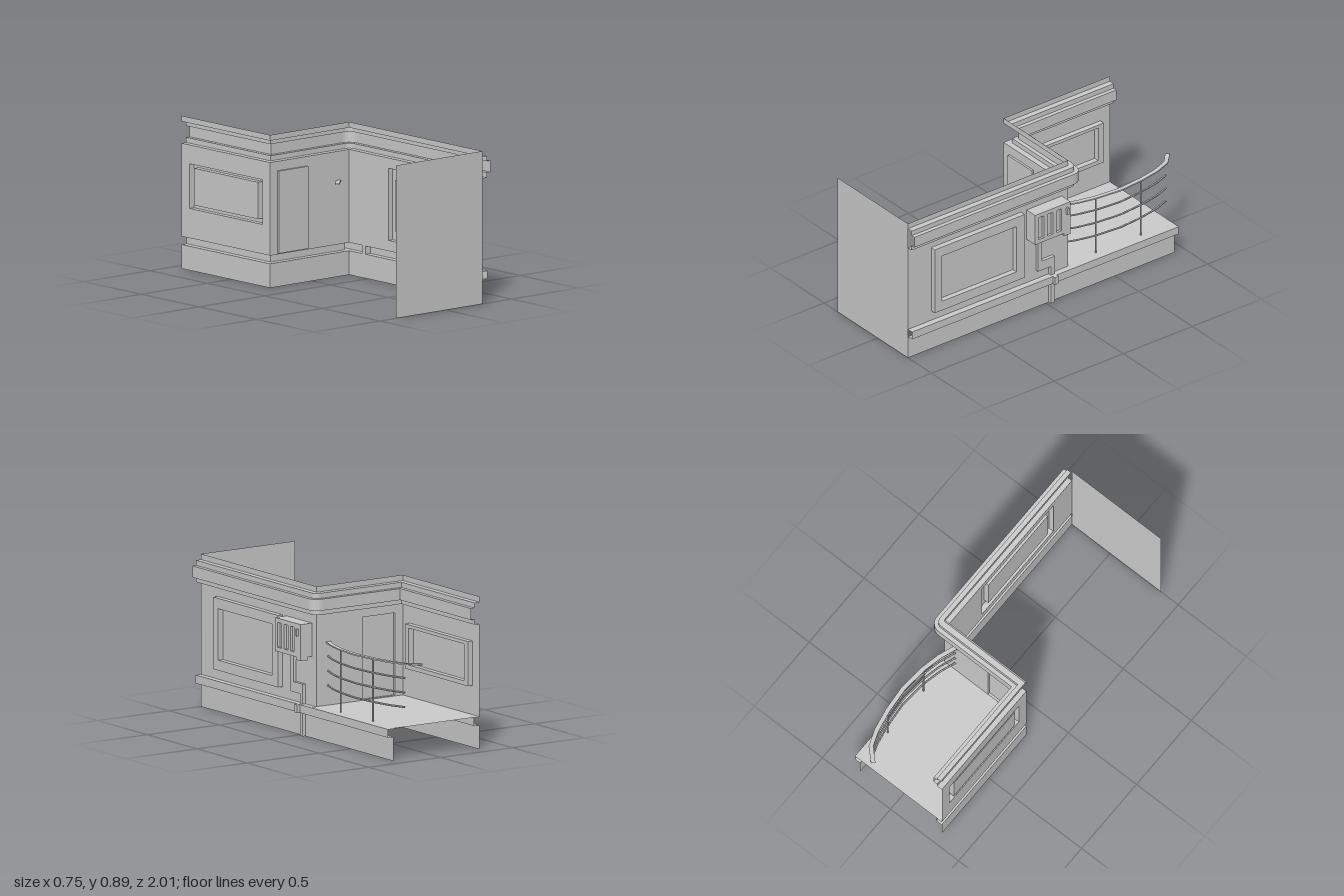
import * as THREE from 'three';

const mat = new THREE.MeshStandardMaterial({ color: 0xcccccc, side: THREE.DoubleSide, flatShading: true });

function add(parent, name, geo, x = 0, y = 0, z = 0) {
  const m = new THREE.Mesh(geo, mat);
  m.name = name;
  m.position.set(x, y, z);
  parent.add(m);
  return m;
}

// Faceted surface through rows of equally many points
function skin(rows) {
  const pos = [];
  for (let i = 0; i + 1 < rows.length; i++) {
    for (let j = 0; j + 1 < rows[i].length; j++) {
      const a = rows[i][j], b = rows[i + 1][j], c = rows[i + 1][j + 1], d = rows[i][j + 1];
      pos.push(...a, ...b, ...c, ...a, ...c, ...d);
    }
  }
  const g = new THREE.BufferGeometry();
  g.setAttribute('position', new THREE.Float32BufferAttribute(pos, 3));
  g.computeVertexNormals();
  return g;
}

// Moulding: profile [offset, y] carried along stations [x, z, normalX, normalZ]
const sweep = (path, profile) =>
  skin(path.map(([x, z, nx, nz]) => profile.map(([o, y]) => [x + nx * o, y, z + nz * o])));

// Rectangles are [left, bottom, right, top]
const corners = ([l, b, r, t]) => [[l, b], [r, b], [r, t], [l, t]];
function rectShape(rect, holes = []) {
  const toVec = (r) => corners(r).map((p) => new THREE.Vector2(...p));
  const s = new THREE.Shape(toVec(rect));
  holes.forEach((h) => s.holes.push(new THREE.Path(toVec(h).reverse())));
  return s;
}

// Flat wall with one panel; rings are [rect, depth], the last one is capped
function panelWall(parent, name, rect, rings) {
  const g = new THREE.Group();
  g.name = name;
  parent.add(g);
  add(g, name + 'Face', new THREE.ShapeGeometry(rectShape(rect, [rings[0][0]])));
  const loops = rings.map(([r, d]) => [...corners(r), corners(r)[0]].map(([x, y]) => [x, y, d]));
  add(g, name + 'PanelFrame', skin(loops.reverse()));
  const [r, d] = rings[rings.length - 1];
  add(g, name + 'Panel', new THREE.ShapeGeometry(rectShape(r)), 0, 0, d);
  return g;
}

// Shape drawn in (-z, y), given thickness along +x
const sideExtrude = (shape, depth) =>
  new THREE.ExtrudeGeometry(shape, { depth, bevelEnabled: false }).rotateY(Math.PI / 2);

function box(parent, name, x0, x1, y0, y1, z0, z1) {
  return add(parent, name, new THREE.BoxGeometry(x1 - x0, y1 - y0, z1 - z0),
    (x0 + x1) / 2, (y0 + y1) / 2, (z0 + z1) / 2);
}

export function createModel() {
  const model = new THREE.Group();
  model.name = 'buildingCorner';
  const AX = 0.28, BZ = -0.16, CX = -0.32, END = -0.93;

  // Plain end wall
  add(model, 'endWall', new THREE.ShapeGeometry(rectShape([-0.375, 0, AX, 0.89])), 0, 0, 1);

  // Cornice along all three walls, rounded at the outer corner
  const turn = [];
  for (let i = 0; i <= 5; i++) {
    const a = (i / 5) * Math.PI / 2;
    turn.push([AX, BZ, Math.cos(a), -Math.sin(a)]);
  }
  const inner = [[CX, BZ, 1, -1], [CX, END, 1, 0]];
  add(model, 'cornice', sweep([[AX, 1, 1, 0], ...turn, ...inner], [
    [0, 0.73], [0.035, 0.73], [0.035, 0.76], [0.06, 0.76], [0.06, 0.827],
    [0.035, 0.827], [0.035, 0.857], [0, 0.857], [0, 0.89]]));

  // Plinths with a projecting string course
  const plinth = [[0, 0], [0, 0.14], [0.038, 0.14], [0.038, 0.188], [0, 0.188]];
  add(model, 'frontPlinth', sweep([[AX, 1, 1, 0], [AX, END, 1, 0]], plinth));
  add(model, 'recessPlinth', sweep([[AX, BZ, 0, -1], ...inner], plinth));

  // Walls
  const wallA = panelWall(model, 'frontWall', [-1, 0.188, -BZ, 0.73], [
    [[-0.83, 0.25, -0.18, 0.67], 0], [[-0.83, 0.25, -0.18, 0.67], 0.033],
    [[-0.78, 0.31, -0.24, 0.61], 0.033], [[-0.78, 0.31, -0.24, 0.61], 0]]);
  wallA.rotation.y = Math.PI / 2;
  wallA.position.x = AX;
  const wallC = panelWall(model, 'rearWall', [-BZ, 0.188, -END, 0.73], [
    [[0.228, 0.36, 0.86, 0.62], 0], [[0.228, 0.36, 0.86, 0.62], 0.033],
    [[0.265, 0.385, 0.82, 0.6], 0.033], [[0.265, 0.385, 0.82, 0.6], 0]]);
  wallC.rotation.y = Math.PI / 2;
  wallC.position.x = CX;
  const wallB = panelWall(model, 'doorWall', [-AX, 0.188, -CX, 0.73], [
    [[0.04, 0.195, 0.265, 0.675], 0], [[0.04, 0.195, 0.265, 0.675], -0.013]]);
  wallB.rotation.y = Math.PI;
  wallB.position.z = BZ;

  // Balcony floor
  add(model, 'balconyFloor', new THREE.PlaneGeometry(0.638, BZ - END).rotateX(-Math.PI / 2),
    -0.001, 0.19, (BZ + END) / 2);

  // Bowed railing: flat handrail, three bars, two posts
  const railing = new THREE.Group();
  railing.name = 'railing';
  model.add(railing);
  const bow = [[0.2, -0.16], [0.237, -0.26], [0.262, -0.375], [0.276, -0.54],
    [0.262, -0.7], [0.237, -0.83], [0.2, -0.93]];
  const hand = [[0.127, -0.09], ...bow, [0.127, -1]].map(([x, z], i, all) => {
    const p = all[Math.max(i - 1, 0)], q = all[Math.min(i + 1, all.length - 1)];
    const len = Math.hypot(q[0] - p[0], q[1] - p[1]);
    return [x, z, -(q[1] - p[1]) / len, (q[0] - p[0]) / len];
  });
  add(railing, 'handrail', sweep(hand, [[-0.013, 0.553], [0.013, 0.553], [0.013, 0.561], [-0.013, 0.561], [-0.013, 0.553]]));
  for (const y of [0.305, 0.39, 0.475]) {
    const path = new THREE.CurvePath();
    for (let i = 0; i + 1 < bow.length; i++) {
      const [a, b] = [bow[i], bow[i + 1]].map(([x, z]) => new THREE.Vector3(x, y, z));
      path.add(new THREE.LineCurve3(a, b));
    }
    add(railing, 'railBar', new THREE.TubeGeometry(path, 24, 0.006, 6));
  }
  for (const z of [-0.375, -0.7]) {
    add(railing, 'railPost', new THREE.CylinderGeometry(0.005, 0.005, 0.365, 6), 0.262, 0.3725, z);
  }

  // Wall unit with three slots, a handle and a lower lip
  const unit = new THREE.Group();
  unit.name = 'wallUnit';
  model.add(unit);
  box(unit, 'unitBody', AX, 0.345, 0.475, 0.67, -0.115, 0.14);
  const slots = [-0.115, -0.05, 0.013].map((u) => [u, 0.5, u + 0.037, 0.645]);
  add(unit, 'slottedCover', sideExtrude(rectShape([-0.14, 0.475, 0.115, 0.67], slots), 0.015), 0.345);
  box(unit, 'unitHandle', 0.36, 0.375, 0.6, 0.64, -0.095, -0.083);
  box(unit, 'unitLip', 0.313, 0.36, 0.457, 0.475, -0.115, -0.07);

  // Cable duct stepping down to the ground
  const duct = [[-0.073, 0.475], [-0.073, 0.245], [0.02, 0.245], [0.02, 0], [0.047, 0],
    [0.047, 0.305], [-0.045, 0.305], [-0.045, 0.475]].map((p) => new THREE.Vector2(...p));
  add(model, 'duct', sideExtrude(new THREE.Shape(duct), 0.02), AX);
  box(model, 'ductBridge', AX, 0.337, 0.14, 0.188, -0.047, -0.02);

  return model;
}
